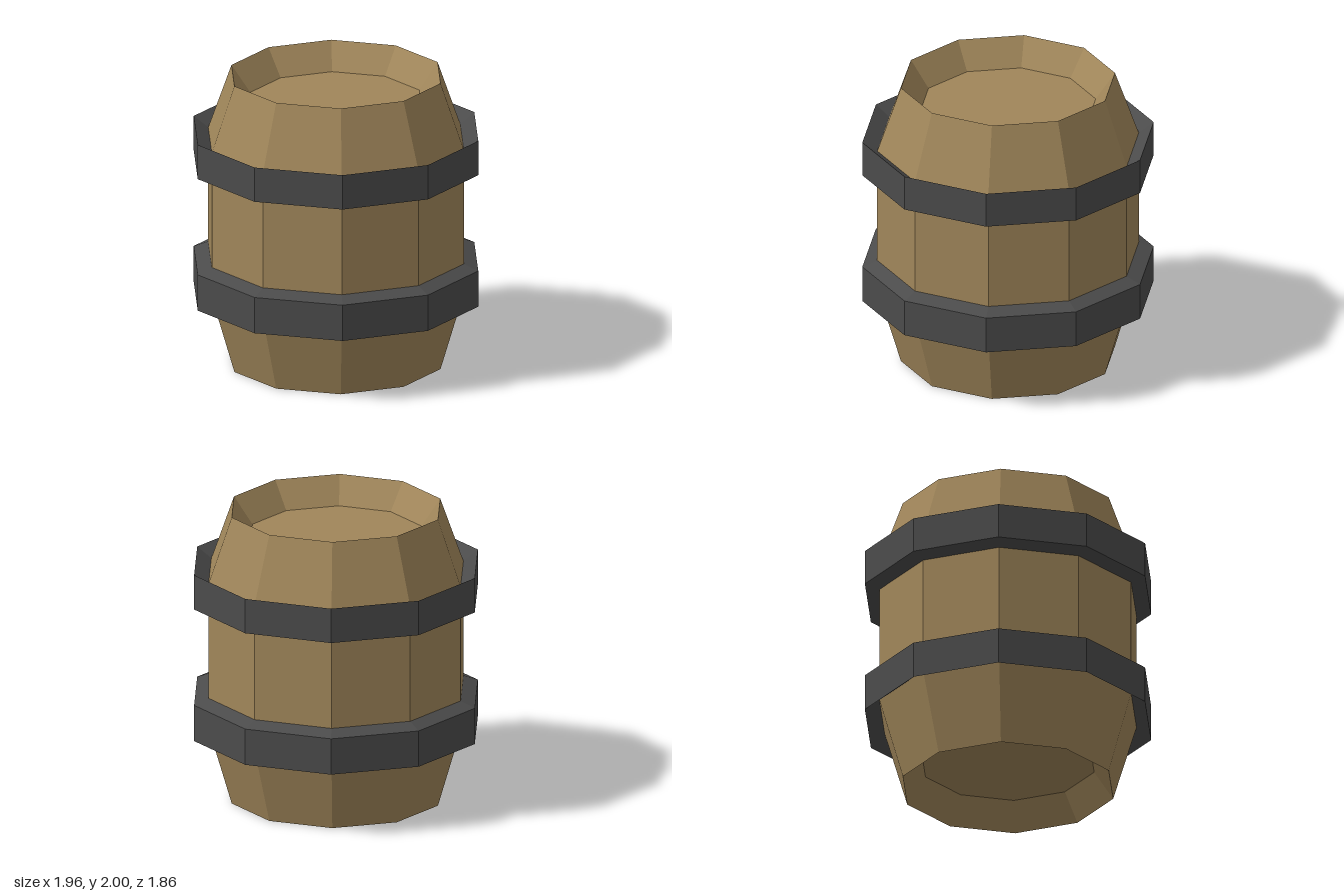
import * as THREE from 'three';

const SIDES = 10;
const wood = new THREE.MeshStandardMaterial({ color: 0xa0865a, flatShading: true });
const iron = new THREE.MeshStandardMaterial({ color: 0x4b4b4b, flatShading: true });

// Ten-sided turned part from [radius, y] pairs, with a corner on the x axis
function turned(name, profile, material) {
  const points = profile.map(([r, y]) => new THREE.Vector2(r, y));
  const mesh = new THREE.Mesh(new THREE.LatheGeometry(points, SIDES, Math.PI / 2), material);
  mesh.name = name;
  return mesh;
}

export function createModel() {
  const barrel = new THREE.Group();
  barrel.name = 'barrel';

  // Wooden body with a recessed lid and base
  barrel.add(turned('body', [
    [0, 0.18], [0.59, 0.18], [0.72, 0], [0.88, 0.54],
    [0.88, 1.55], [0.72, 2], [0.59, 1.82], [0, 1.82],
  ], wood));

  // Hoops: the edge facing an end flares past the body, the other tapers into it
  barrel.add(turned('lowerHoop', [[0.88, 0.54], [0.98, 0.46], [0.98, 0.71], [0.88, 0.75]], iron));
  barrel.add(turned('upperHoop', [[0.88, 1.35], [0.98, 1.38], [0.98, 1.62], [0.88, 1.55]], iron));

  return barrel;
}
